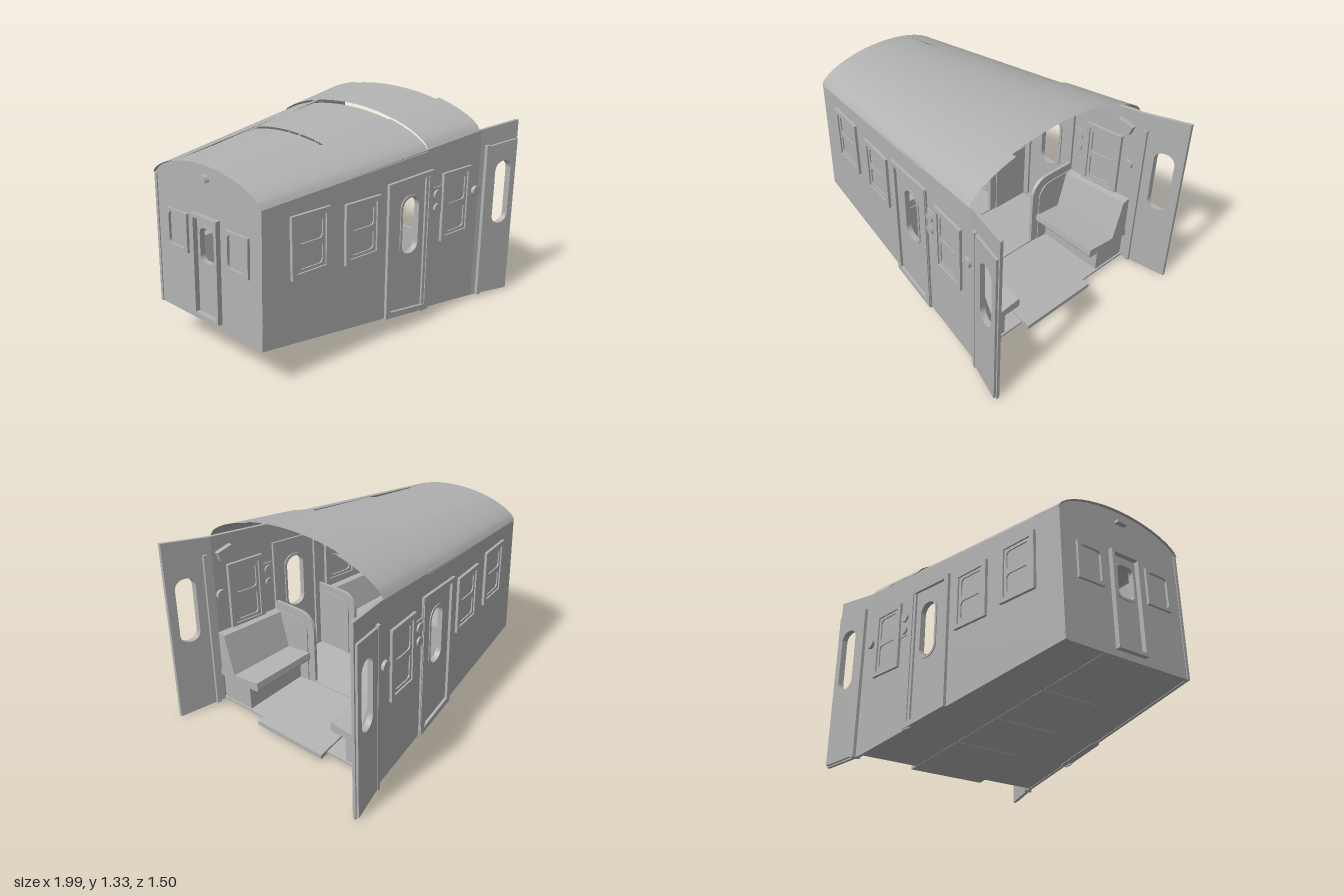
import * as THREE from 'three';

const grey = new THREE.MeshStandardMaterial({ color: 0xb2b2b2, side: THREE.DoubleSide });
grey.name = 'plain grey';

// The carriage tapers towards -x: floor line, eave line, roof rise, half width, centre line
const floorY = x => Math.max(0, 0.115 - 0.13 * x);
const eaveY = x => 1.095 + 0.068 * x;
const rise = x => 0.17 + 0.031 * x;
const halfW = x => (x < 0.7 ? 0.44 + (x + 0.97) * 0.132 : 0.66 + (x - 0.7) * 0.27);
const centreZ = x => Math.max(0, 0.018 * (0.7 - x));
const arch = t => Math.pow(Math.max(0, 1 - t * t), 0.65);

function add(group, geo, name) {
  const m = new THREE.Mesh(geo, grey);
  m.name = name;
  group.add(m);
  return m;
}

// Moves every vertex by a rule; flip reverses the faces for mirrored parts
function warp(geo, rule, flip = false) {
  const g = geo.index ? geo.toNonIndexed() : geo;
  const p = g.attributes.position;
  const v = new THREE.Vector3();
  for (let i = 0; i < p.count; i++) {
    v.fromBufferAttribute(p, i);
    rule(v);
    p.setXYZ(i, v.x, v.y, v.z);
  }
  if (flip) {
    const a = new THREE.Vector3(), b = new THREE.Vector3();
    for (let i = 0; i < p.count; i += 3) {
      a.fromBufferAttribute(p, i + 1);
      b.fromBufferAttribute(p, i + 2);
      p.setXYZ(i + 1, b.x, b.y, b.z);
      p.setXYZ(i + 2, a.x, a.y, a.z);
    }
  }
  g.computeVertexNormals();
  return g;
}

const poly = pts => new THREE.Shape(pts.map(([x, y]) => new THREE.Vector2(x, y)));
const rect = (x0, y0, x1, y1) => poly([[x0, y0], [x1, y0], [x1, y1], [x0, y1]]);

function rounded(x0, y0, x1, y1, r) {
  const s = new THREE.Shape();
  s.absarc(x1 - r, y1 - r, r, 0, Math.PI / 2);
  s.absarc(x0 + r, y1 - r, r, Math.PI / 2, Math.PI);
  s.absarc(x0 + r, y0 + r, r, Math.PI, Math.PI * 1.5);
  s.absarc(x1 - r, y0 + r, r, Math.PI * 1.5, Math.PI * 2);
  s.closePath();
  return s;
}

function cut(shape, ...holes) {
  shape.holes.push(...holes);
  return shape;
}

function extrude(shape, z0, z1) {
  const g = new THREE.ExtrudeGeometry(shape, { depth: z1 - z0, bevelEnabled: false, curveSegments: 6 });
  return g.translate(0, 0, z0);
}

// One long side with its doors, windows and benches; s = 1 front, -1 back
function sideWall(s) {
  const g = new THREE.Group();
  g.name = s > 0 ? 'frontSide' : 'backSide';
  const plate = (shape, z0, z1, name) => add(g, warp(extrude(shape, z0, z1), v => {
    v.z = centreZ(v.x) + s * (halfW(v.x) + v.z);
  }, s < 0), name);

  // Wall and open end panel
  const doorHole = () => rounded(0.035, 0.5, 0.165, 0.85, 0.06);
  const endHole = () => rounded(0.815, 0.5, 0.94, 0.92, 0.06);
  plate(cut(poly([[-0.97, floorY(-0.97)], [0.7, floorY(0.7)], [0.7, eaveY(0.7)], [-0.95, eaveY(-0.95)]]),
    doorHole()), -0.02, 0, 'wall');
  plate(cut(poly([[0.7, floorY(0.7)], [0.99, 0], [0.993, 1.168], [0.7, eaveY(0.7)]]), endHole()), -0.02, 0, 'endPanel');
  plate(cut(poly([[0.755, 0.03], [0.98, 0.01], [0.98, 1.05], [0.745, 1.03]]), endHole()), 0, 0.016, 'endDoor');
  plate(rect(0.735, 0.02, 0.76, 1.04), -0.035, 0.02, 'endDoorPost');

  // Side door
  plate(cut(poly([[-0.09, floorY(-0.09)], [0.27, floorY(0.27)], [0.27, 0.985], [-0.09, 0.97]]),
    poly([[-0.055, 0.16], [0.235, 0.12], [0.235, 0.955], [-0.055, 0.945]])), -0.035, 0.018, 'doorFrame');
  plate(cut(rounded(0.02, 0.485, 0.18, 0.865, 0.07), doorHole()), -0.028, 0.006, 'doorWindowRim');
  plate(rect(0.215, 0.075, 0.275, 0.98), 0, 0.012, 'doorPost');

  // Windows with two sashes each
  for (const [x0, y0, x1, y1] of [[-0.78, 0.595, -0.52, 0.955], [-0.41, 0.57, -0.15, 0.93], [0.36, 0.505, 0.61, 0.94]]) {
    const b = 0.03, m = (y0 + y1) / 2;
    plate(cut(rect(x0, y0, x1, y1), rect(x0 + b, y0 + b, x1 - b, y1 - b)), -0.04, 0.018, 'windowFrame');
    plate(cut(rect(x0 + b, y0 + b, x1 - b, y1 - b),
      rounded(x0 + 0.047, m + 0.012, x1 - 0.047, y1 - 0.047, 0.025),
      rounded(x0 + 0.047, y0 + 0.047, x1 - 0.047, m - 0.012, 0.025)), -0.03, 0.008, 'windowSashes');
  }

  // Small fittings beside the door
  plate(rect(0.28, 0.695, 0.355, 0.865), -0.03, 0.008, 'controlBox');
  for (const [x, y, r] of [[0.313, 0.82, 0.03], [0.313, 0.735, 0.028], [0.665, 0.76, 0.032]])
    plate(new THREE.Shape().absarc(x, y, r, 0, Math.PI * 2), -0.04, 0.02, 'roundFitting');
  plate(poly([[0.56, 1.0], [0.66, 0.98], [0.68, 1.04], [0.58, 1.07]]), -0.05, -0.02, 'innerBracket');

  // Interior parts: profile is (distance from wall, height), run along x
  const run = (shape, x0, x1, name) => add(g, warp(extrude(shape, x0, x1), v => {
    const x = v.z, k = halfW(x) / 0.66;
    v.set(x, floorY(x) + v.y * k, centreZ(x) + s * (halfW(x) - 0.01 - v.x * k));
  }, s < 0), name);
  for (const [x0, x1] of [[0.27, 0.7], [-0.94, -0.12]]) {
    run(rect(0.01, 0.01, 0.25, 0.195), x0, x1 - 0.01, 'benchBase');
    run(poly([[0.01, 0.185], [0.34, 0.19], [0.35, 0.205], [0.345, 0.25], [0.12, 0.225], [0.01, 0.225]]), x0, x1 + 0.01, 'benchSeat');
    run(poly([[0.02, 0.22], [0.14, 0.22], [0.07, 0.48], [0.02, 0.49]]), x0, x1 + 0.01, 'benchBack');
  }
  // Rounded partitions on either side of the door
  const panel = inset => {
    const p = new THREE.Shape();
    const w = 0.39 - inset, h = 0.55 - inset, r = 0.13 - inset * 0.5;
    p.moveTo(0.01, 0.01);
    p.lineTo(w, 0.01);
    p.lineTo(w, h - r);
    p.absarc(w - r, h - r, r, 0, Math.PI / 2);
    p.lineTo(0.01, h);
    p.closePath();
    return p;
  };
  for (const x of [0.25, -0.12]) {
    run(panel(0), x, x + 0.02, 'partition');
    run(panel(0.06), x - 0.006, x + 0.026, 'partitionInlay');
  }
  return g;
}

// Narrow closed end with a door and two windows
function endWall() {
  const g = new THREE.Group();
  g.name = 'endWall';
  const plate = (shape, t0, t1, name) => add(g, warp(extrude(shape, t0, t1).rotateY(-Math.PI / 2), v => {
    v.x += -0.965 + 0.025 * (v.y - 0.24) / 0.93;
  }), name);
  const c = centreZ(-0.96), w = halfW(-0.96), outline = [[c - w, 0.24], [c + w, 0.24]];
  for (let i = 0; i <= 20; i++) {
    const t = 1 - i / 10;
    outline.push([c + w * t, 1.03 + 0.135 * arch(t)]);
  }
  const hole = () => rounded(-0.02, 0.61, 0.095, 0.81, 0.035);
  plate(cut(poly(outline), hole()), -0.02, 0, 'endPlate');
  plate(cut(rect(-0.07, 0.28, 0.142, 0.885), rect(-0.05, 0.3, 0.122, 0.865)), -0.035, 0.03, 'endDoorFrame');
  plate(cut(rounded(-0.032, 0.598, 0.107, 0.822, 0.045), hole()), -0.026, 0.008, 'endDoorRim');
  for (const z of [-0.215, 0.285]) {
    plate(cut(rect(z - 0.09, 0.625, z + 0.09, 0.855), rounded(z - 0.07, 0.645, z + 0.07, 0.835, 0.025)), -0.035, 0.016, 'endWindowFrame');
  }
  plate(new THREE.Shape().absarc(c, 1.08, 0.035, 0, Math.PI), 0, 0.03, 'endLamp');
  return g;
}

// Curved roof strip from x0 to x1 and across t0 to t1 (-1 to 1), dropped by d0 and d1
function roofStrip(x0, x1, t0, t1, d0, d1) {
  const geo = new THREE.PlaneGeometry(1, 1, 14, 4);
  const p = geo.attributes.position;
  for (let i = 0; i < p.count; i++) {
    const t = t0 + (t1 - t0) * (p.getX(i) + 0.5), f = p.getY(i) + 0.5;
    const x = x0 + (x1 - x0) * f;
    p.setXYZ(i, x, eaveY(x) + rise(x) * arch(t) - d0 - (d1 - d0) * f, centreZ(x) + (halfW(x) + 0.003) * t);
  }
  // Across runs to +z and along runs to +x, so the outside already faces up after reversing
  const ix = geo.index;
  for (let i = 0; i < ix.count; i += 3) {
    const a = ix.getX(i + 1);
    ix.setX(i + 1, ix.getX(i + 2));
    ix.setX(i + 2, a);
  }
  geo.computeVertexNormals();
  if (geo.attributes.normal.getY(30) < 0) {
    for (let i = 0; i < ix.count; i += 3) {
      const a = ix.getX(i + 1);
      ix.setX(i + 1, ix.getX(i + 2));
      ix.setX(i + 2, a);
    }
    geo.computeVertexNormals();
  }
  return geo;
}

export function createModel() {
  const car = new THREE.Group();
  car.name = 'taperedCarriage';
  car.add(sideWall(1), sideWall(-1), endWall());

  // Roof: stepped centre strips and side strips
  const seam = 0.52;
  add(car, roofStrip(0.225, 0.65, -seam, seam, 0, 0), 'roofFront');
  add(car, roofStrip(-0.32, 0.225, -seam, seam, 0.008, 0.02), 'roofMiddle');
  add(car, roofStrip(-0.955, -0.32, -seam, seam, 0, 0.02), 'roofRear');
  for (const [a, b] of [[-1, -seam], [seam, 1]]) {
    add(car, roofStrip(0.225, 0.68, a, b, 0, 0), 'roofSideFront');
    add(car, roofStrip(-0.955, 0.225, a, b, 0, 0.012), 'roofSideRear');
  }

  // Sloping floor and raised aisle plates
  const slab = (x0, x1, part, y0, y1, name) => add(car, warp(new THREE.BoxGeometry(1, 1, 2), v => {
    const x = x0 + (x1 - x0) * (v.x + 0.5);
    v.set(x, floorY(x) + y0 + (y1 - y0) * (v.y + 0.5), centreZ(x) + v.z * part * (halfW(x) - 0.01));
  }), name);
  slab(-0.96, 0.7, 1, 0.004, 0.018, 'floor');
  const stops = [-0.95, -0.5, -0.1, 0.27, 0.755];
  for (let i = 0; i < 4; i++) slab(stops[i] + 0.006, stops[i + 1], 0.4, 0.002, 0.03, 'aislePlate');
  return car;
}
